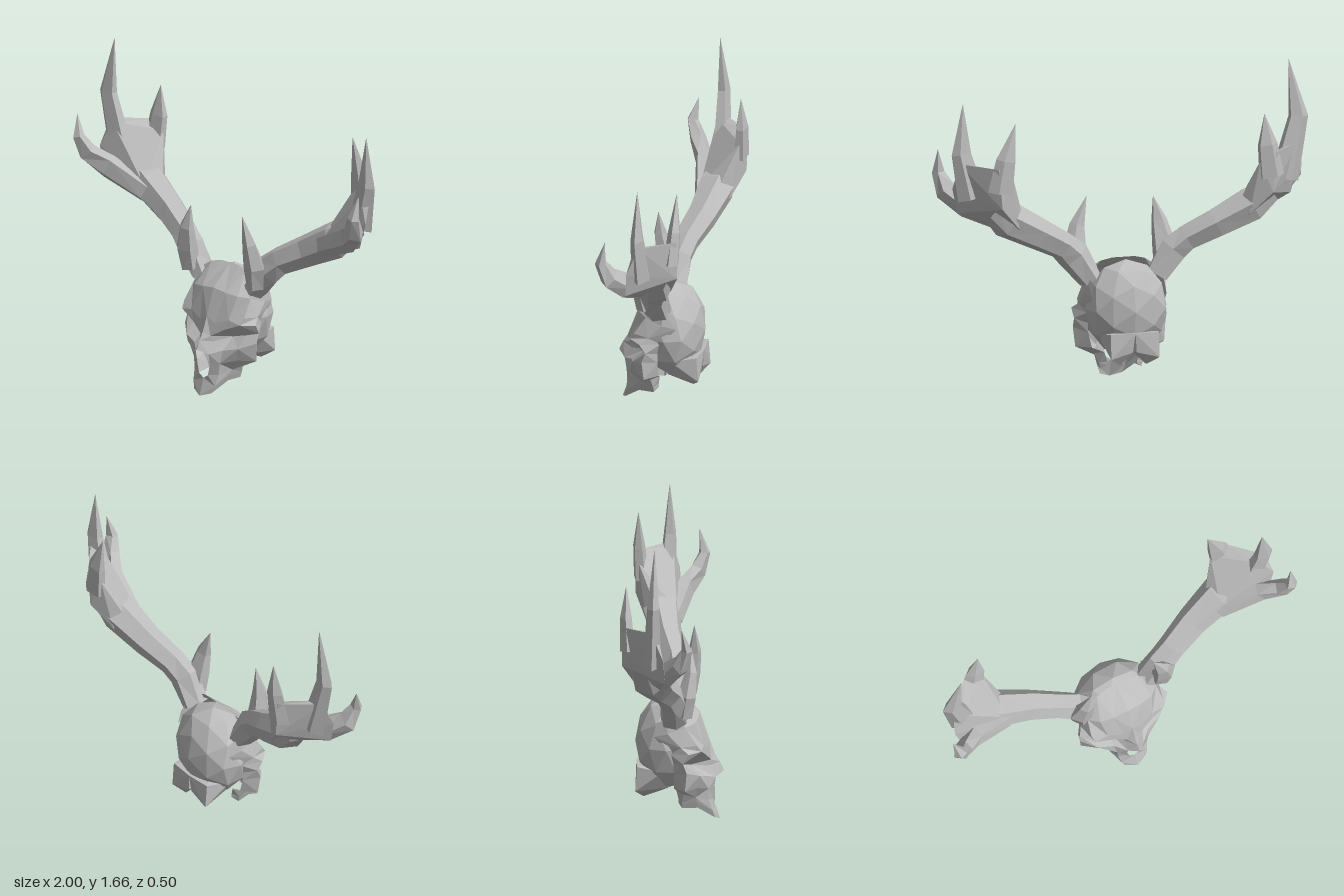
import * as THREE from 'three';
import { ConvexGeometry } from 'three/addons/geometries/ConvexGeometry.js';

const bone = new THREE.MeshStandardMaterial({ color: 0xbcbcbc, flatShading: true, side: THREE.DoubleSide });
bone.name = 'bone';

function add(parent, name, geometry, side = 1) {
  const mesh = new THREE.Mesh(geometry, bone);
  mesh.name = name;
  mesh.scale.x = side;
  parent.add(mesh);
  return mesh;
}

// Faceted surface through rows of points; each row has the same length
function patch(rows) {
  const pos = [];
  for (let r = 0; r < rows.length - 1; r++) {
    for (let c = 0; c < rows[r].length - 1; c++) {
      const a = rows[r][c], b = rows[r][c + 1], d = rows[r + 1][c], e = rows[r + 1][c + 1];
      if ((r + c) % 2) pos.push(...a, ...d, ...b, ...b, ...d, ...e);
      else pos.push(...a, ...d, ...e, ...a, ...e, ...b);
    }
  }
  const g = new THREE.BufferGeometry();
  g.setAttribute('position', new THREE.Float32BufferAttribute(pos, 3));
  g.computeVertexNormals();
  return g;
}

// Tapered horn: stations are [x, y, z, radius along z, radius across]
function horn(stations, sides = 5) {
  const pts = stations.map(s => new THREE.Vector3(s[0], s[1], s[2]));
  const rows = stations.map((s, i) => {
    const t = pts[Math.min(i + 1, pts.length - 1)].clone().sub(pts[Math.max(i - 1, 0)]).normalize();
    const u = new THREE.Vector3(0, 0, 1).addScaledVector(t, -t.z).normalize();
    const v = t.clone().cross(u);
    return Array.from({ length: sides + 1 }, (_, j) => {
      const a = -(j % sides) / sides * Math.PI * 2 + 0.3;
      return pts[i].clone().addScaledVector(u, Math.cos(a) * s[3]).addScaledVector(v, Math.sin(a) * s[4]).toArray();
    });
  });
  return patch(rows);
}

const hull = list => new ConvexGeometry(list.map(p => new THREE.Vector3(...p)));

// One antler, described on the +x side; tip positions differ per side
function antler(name, side, tips) {
  const g = new THREE.Group();
  g.name = name;
  add(g, 'beam', horn([
    [0.18, 0.56, 0.0, 0.07, 0.06], [0.27, 0.69, 0.0, 0.07, 0.085], [0.34, 0.75, -0.02, 0.07, 0.075],
    [0.48, 0.825, -0.065, 0.08, 0.085], [0.66, 0.92, -0.1, 0.1, 0.1], [0.76, 0.99, -0.12, 0.08, 0.06],
  ], 6), side);
  add(g, 'browTine', horn([
    [0.23, 0.6, 0.05, 0.05, 0.05], [0.24, 0.71, 0.07, 0.05, 0.065],
    [0.22, 0.83, 0.09, 0.033, 0.042], [...tips.brow, 0.001, 0.001],
  ]), side);
  add(g, 'palm', hull([
    [0.6, 0.82, -0.06], [0.6, 0.98, -0.14], [0.62, 0.88, -0.18], [0.62, 0.93, -0.02], [0.9, 0.95, -0.01],
    [0.93, 1.08, -0.02], [0.65, 1.03, -0.19], [0.73, 1.0, -0.24], [0.67, 1.17, -0.22], [0.75, 1.21, -0.24],
    [0.91, 1.22, -0.08], [0.87, 1.21, -0.05],
  ]), side);
  add(g, 'mainTine', horn([
    [0.84, 1.04, -0.08, 0.05, 0.08], [...tips.bend, 0.033, 0.055], [...tips.main, 0.001, 0.001],
  ]), side);
  add(g, 'rearTine', horn([
    [0.73, 1.08, -0.21, 0.04, 0.07], [0.705, 1.25, -0.22, 0.032, 0.055], [...tips.rear, 0.001, 0.001],
  ]), side);
  add(g, 'frontTine', horn([
    [0.62, 0.89, -0.04, 0.05, 0.06], [0.84, 0.99, 0.01, 0.05, 0.07], [0.935, 1.06, 0.07, 0.045, 0.06],
    [0.965, 1.15, 0.105, 0.03, 0.035], [...tips.front, 0.001, 0.001],
  ]), side);
  return g;
}

// Half of the face, centre line to temple: forehead, brow, eye socket, cheekbone
const upperFace = [
  [[0, 0.665, 0.0], [0.06, 0.665, 0.0], [0.12, 0.65, 0.01], [0.18, 0.61, 0.03], [0.21, 0.58, -0.03], [0.19, 0.55, -0.09]],
  [[0, 0.56, 0.125], [0.08, 0.55, 0.12], [0.15, 0.54, 0.105], [0.2, 0.53, 0.06], [0.22, 0.5, -0.03], [0.2, 0.48, -0.1]],
  [[0, 0.42, 0.175], [0.05, 0.39, 0.17], [0.13, 0.42, 0.15], [0.21, 0.44, 0.12], [0.23, 0.43, 0.04], [0.2, 0.42, -0.05]],
  [[0, 0.34, 0.205], [0.035, 0.32, 0.185], [0.1, 0.36, 0.165], [0.2, 0.405, 0.145], [0.255, 0.4, 0.08], [0.2, 0.39, -0.02]],
  [[0, 0.3, 0.23], [0.045, 0.29, 0.17], [0.1, 0.31, 0.085], [0.18, 0.33, 0.075], [0.25, 0.35, 0.05], [0.19, 0.33, 0]],
  [[0, 0.255, 0.25], [0.045, 0.23, 0.21], [0.1, 0.25, 0.16], [0.18, 0.27, 0.135], [0.25, 0.3, 0.07], [0.19, 0.28, 0]],
];
// Half of the muzzle, nasal opening to cheek, down to the jaw tip
const muzzle = [
  upperFace[5].slice(1),
  [[0.045, 0.17, 0.2], [0.09, 0.18, 0.175], [0.16, 0.2, 0.12], [0.24, 0.2, 0.06], [0.17, 0.2, 0]],
  [[0.03, 0.11, 0.2], [0.085, 0.12, 0.175], [0.12, 0.14, 0.11], [0.14, 0.16, 0.05], [0.1, 0.17, 0.01]],
  [[0, 0.09, 0.2], [0.075, 0.06, 0.195], [0.11, 0.11, 0.12], [0.12, 0.11, 0.04], [0.08, 0.12, 0.02]],
  [[0, 0, 0.23], [0.06, 0.02, 0.205], [0.1, 0.08, 0.12], [0.11, 0.08, 0.04], [0.08, 0.1, 0.02]],
];

export function createModel() {
  const model = new THREE.Group();
  model.name = 'antleredSkull';

  // Braincase
  const skull = new THREE.Group();
  skull.name = 'skull';
  model.add(skull);
  const dome = new THREE.IcosahedronGeometry(1, 1);
  dome.scale(0.22, 0.25, 0.168);
  dome.translate(0, 0.41, -0.038);
  add(skull, 'cranium', dome);

  for (const s of [1, -1]) {
    add(skull, s > 0 ? 'leftFace' : 'rightFace', patch(upperFace), s);
    add(skull, s > 0 ? 'leftMuzzle' : 'rightMuzzle', patch(muzzle), s);
    // Bony lobe at the back of the skull base
    add(skull, s > 0 ? 'leftSkullBase' : 'rightSkullBase', hull([
      [0, 0.3, -0.2], [0.13, 0.3, -0.19], [0.13, 0.17, -0.2], [0.07, 0.13, -0.16], [0.01, 0.2, -0.19],
      [0.16, 0.28, -0.06], [0.1, 0.185, -0.03], [0.01, 0.2, -0.03], [0.02, 0.3, -0.05],
    ]), s);
  }

  model.add(antler('leftAntler', 1, {
    brow: [0.17, 0.975, 0.09], bend: [0.895, 1.27, -0.07], main: [0.89, 1.53, -0.07],
    rear: [0.655, 1.44, -0.22], front: [0.975, 1.27, 0.08],
  }));
  model.add(antler('rightAntler', -1, {
    brow: [0.19, 0.955, 0.09], bend: [0.92, 1.36, -0.07], main: [0.87, 1.66, -0.065],
    rear: [0.69, 1.41, -0.22], front: [0.995, 1.26, 0.08],
  }));
  return model;
}
